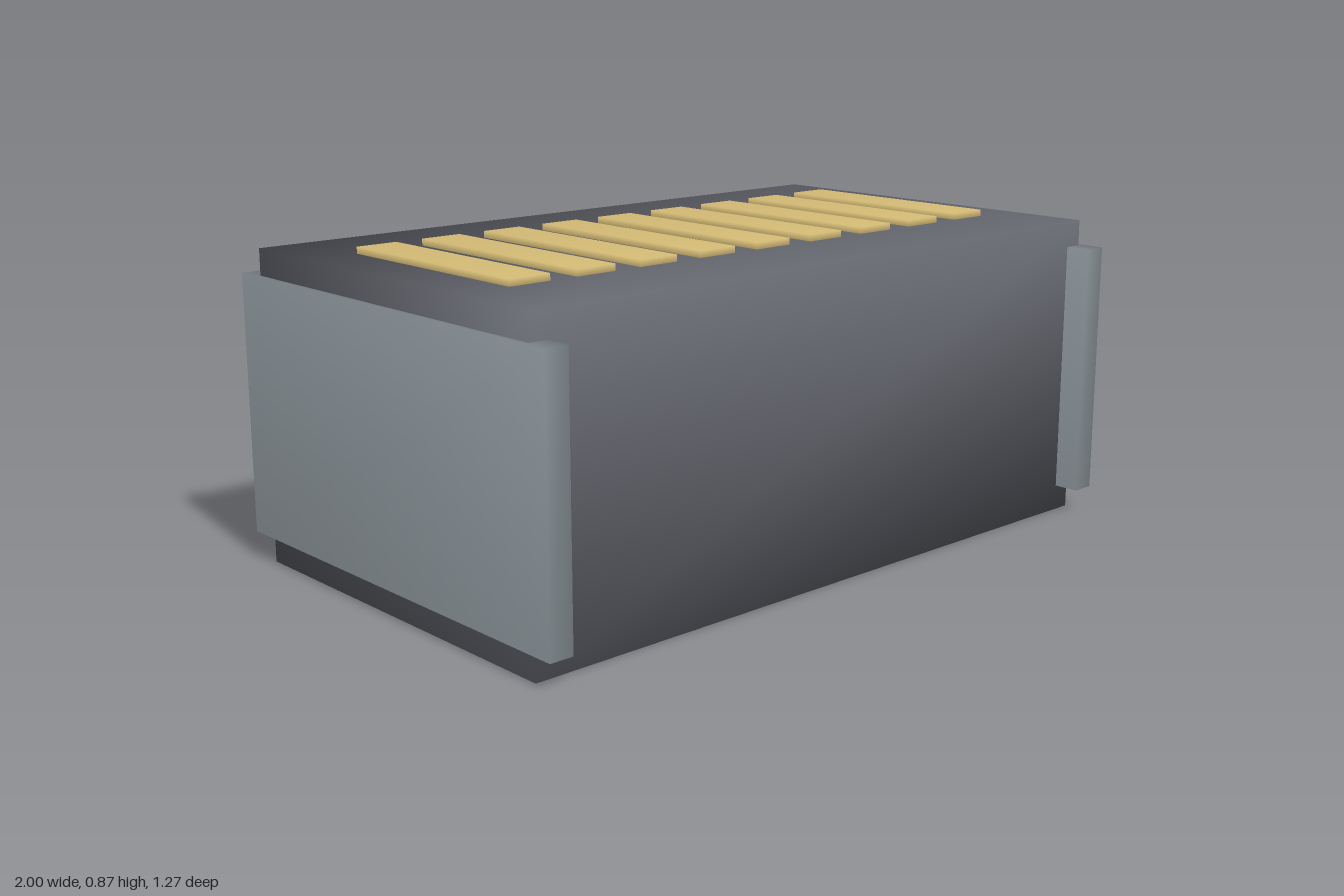
import * as THREE from 'three';
import { mergeVertices } from 'three/addons/utils/BufferGeometryUtils.js';

// Box with shared corners, so its normals blend smoothly over the edges
function smoothBox(w, h, d) {
  const box = new THREE.BoxGeometry(w, h, d);
  box.deleteAttribute('normal');
  box.deleteAttribute('uv');
  const merged = mergeVertices(box);
  merged.computeVertexNormals();
  return merged;
}

export function createModel() {
  const group = new THREE.Group();
  const paint = (name, color) => {
    const material = new THREE.MeshStandardMaterial({ color });
    material.name = name;
    return material;
  };
  const darkGrey = paint('darkGrey', 0x65676f);
  const paleSteel = paint('paleSteel', 0xb7c3ca);
  const gold = paint('gold', 0xd9bf78);

  const add = (name, geometry, material, x, y, z) => {
    const mesh = new THREE.Mesh(geometry, material);
    mesh.name = name;
    mesh.position.set(x, y, z);
    group.add(mesh);
  };

  // Main block
  add('body', smoothBox(1.972, 0.847, 1.128), darkGrey, 0, 0.4235, 0);

  // End plates, proud of the block at the sides, front and back
  const plate = smoothBox(0.066, 0.704, 1.27);
  add('leftEndPlate', plate, paleSteel, 0.967, 0.4235, 0);
  add('rightEndPlate', plate, paleSteel, -0.967, 0.4235, 0);

  // Row of nine contact bars on the top
  const bar = smoothBox(0.118, 0.036, 0.635);
  for (let i = 0; i < 9; i++) {
    add(`contactBar${i + 1}`, bar, gold, (i - 4) * 0.1975, 0.847, 0);
  }
  return group;
}
